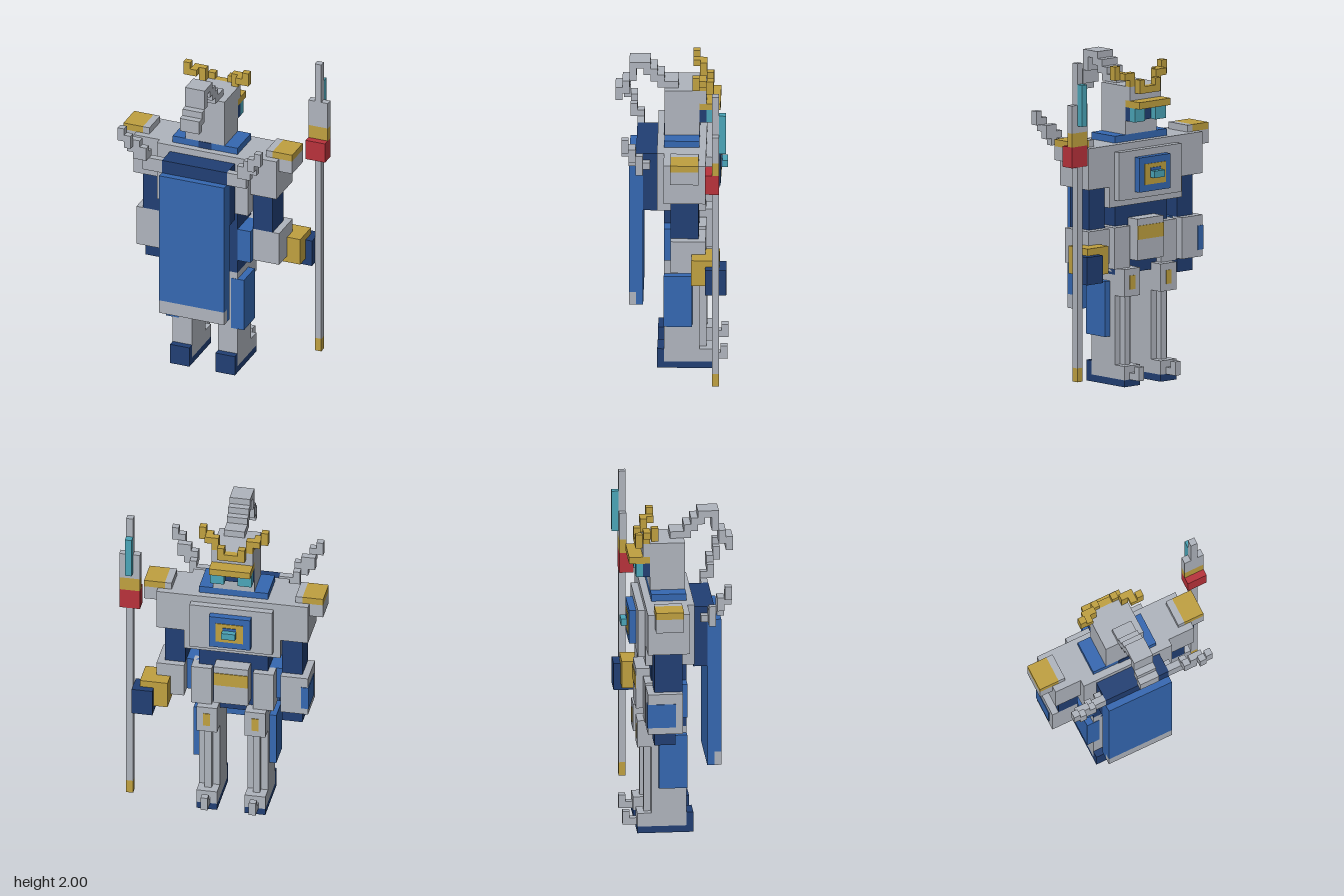
import * as THREE from 'three';

const mat = (name, color) => {
  const m = new THREE.MeshStandardMaterial({ color });
  m.name = name;
  return m;
};

export function createModel() {
  const steel = mat('steel', 0xb0b5be);
  const gold = mat('gold', 0xc0a140);
  const blue = mat('blue', 0x3568b2);
  const navy = mat('navy', 0x213f74);
  const red = mat('red', 0xb9323b);
  const cyan = mat('cyan', 0x4ba6b9);

  const root = new THREE.Group();
  // Everything is laid out on a block grid of 24 blocks per unit
  const figure = new THREE.Group();
  figure.name = 'armouredGuard';
  figure.scale.setScalar(1 / 24);
  figure.position.x = -1.5 / 24;
  root.add(figure);

  // Box given by its bounds in blocks
  const box = (name, m, x0, x1, y0, y1, z0, z1) => {
    const mesh = new THREE.Mesh(new THREE.BoxGeometry(x1 - x0, y1 - y0, z1 - z0), m);
    mesh.position.set((x0 + x1) / 2, (y0 + y1) / 2, (z0 + z1) / 2);
    mesh.name = name;
    figure.add(mesh);
  };
  const pair = (name, m, x0, x1, ...rest) => {
    box(name + 'Left', m, x0, x1, ...rest);
    box(name + 'Right', m, -x1, -x0, ...rest);
  };

  // Legs and boots
  pair('leg', steel, 2, 5, 3, 17, -4, 1);
  pair('sole', navy, 2, 5, 0, 1, -6, 2);
  pair('heel', navy, 2, 5, 1, 3, 1, 2);
  pair('foot', steel, 2, 5, 1, 3, -6, 1);
  pair('toe', steel, 3, 4, 1, 2, -8, -6);
  pair('toeTip', steel, 3, 4, 2, 3, -8, -7);
  pair('shinRidge', steel, 3, 4, 3, 13, -5, -4);
  pair('kneePlate', steel, 2, 5, 13, 17, -6, -4);
  pair('kneeStripe', gold, 3, 4, 14, 16, -6.1, -6);
  pair('thighPlate', blue, 4, 6, 7, 15, -3, 1.05);

  // Waist and hips
  box('waist', navy, -5, 5, 16, 26, -4, 1);
  pair('hipGuard', blue, 5, 7, 18, 23, -3, 1);
  pair('hipPlate', steel, 3, 6, 17, 23, -5, -2);
  box('beltPlate', steel, -2.5, 2.5, 18, 24, -6, -4);
  box('beltBuckle', gold, -2.5, 2.5, 21, 23, -6.1, -6);

  // Torso and chest emblem
  box('torso', steel, -7, 7, 26, 35, -5, 2);
  box('chestPlate', steel, -6, 6, 27, 34, -6, -5);
  box('emblemPanel', blue, -3, 3, 28, 33, -7, -6);
  box('emblemFrame', gold, -2, 2, 29, 32, -7.1, -7);
  box('emblemCore', blue, -1, 1, 30, 31.4, -7.2, -7.1);
  box('emblemGem', cyan, -1, 1, 30, 31, -8, -7.2);
  box('collar', blue, -5, 5, 35, 36, -4, 1);
  box('neckPatch', navy, -1, 1, 35, 36, 1, 1.1);

  // Cape
  box('capeTop', navy, -5, 5, 25, 34, 2, 4);
  box('capeFold', navy, -5, 5, 32, 34, 4, 5);
  box('cape', blue, -5, 5, 12, 32, 4, 6);
  box('capeHem', blue, -5, 5, 10, 12, 4, 5);
  box('capeTrim', steel, -5, 5, 10, 12, 5, 6);

  // Stepped horns rising from the back of the shoulders
  [
    [5, 6, 32, 33, 3, 5], [5, 8, 32, 34, 4, 5], [7, 8, 34, 35, 4, 5],
    [7, 9, 34, 36, 5, 6], [8, 10, 35, 37, 5, 6], [9, 10, 36, 38, 6, 7], [10, 11, 37, 39, 6, 7],
  ].forEach((b, i) => pair('backHorn' + i, steel, ...b));

  // Arms
  pair('shoulder', steel, 7, 11, 29, 35, -5, 1);
  pair('pauldron', steel, 9, 13, 33, 35, -4, 0);
  pair('pauldronRim', steel, 9, 10, 35, 36, -4, 0);
  pair('pauldronCap', gold, 10, 13, 35, 36, -4, 0);
  pair('sleeve', navy, 7, 10, 23, 29, -4, 0);
  box('leftForearm', steel, 7, 11, 18, 23, -5, 0);
  box('rightForearm', steel, -11, -7, 17, 23, -5, 0);
  box('rightForearmPanel', blue, -11.1, -10, 18, 21.5, -5.1, -1);
  box('rightHand', navy, -10, -7, 15, 17, -4, -1);
  box('leftCuff', gold, 9, 13, 17, 21, -7, -3);
  box('leftHand', navy, 11, 14, 16, 20, -8, -5);

  // Head and visor
  box('head', steel, -3, 3, 36, 43, -4, 1);
  box('forehead', steel, -3, 3, 41, 43, -5, -4);
  box('visor', navy, -3, 3, 38, 40, -5, -4);
  pair('eye', cyan, 1, 3, 38, 40, -6, -5);
  box('brow', gold, -3, 3, 40, 41, -7, -4);

  // Crown with two rising prongs
  box('crownCentre', gold, -1, 1, 42, 43, -6, -5);
  pair('crownStep', gold, 1, 2, 42, 44, -6, -5);
  pair('crownBase', gold, 2, 3, 43, 45, -5, -4);
  pair('crownProng', gold, 3, 4, 44, 45, -5, -4);
  pair('crownTip', gold, 4, 5, 44, 46, -4, -3);
  pair('crownProngJoint', gold, 3, 5, 44, 45, -4, -3);

  // Plume arching over the back of the head: y0, y1, z0, z1
  [
    [43, 44, -1, 2], [44, 45, 1, 3], [45, 46, 2, 4], [46, 47, 3, 6],
    [44, 46, 5, 6], [42, 44, 6, 7], [41, 43, 7, 8],
  ].forEach((b, i) => box('plume' + i, steel, -1, 2, ...b));

  // Staff
  box('staffTip', gold, 14, 15, 2, 4, -7, -6);
  box('staffShaft', steel, 14, 15, 4, 33, -7, -6);
  box('staffSocket', red, 13, 16, 33, 36, -7, -5);
  box('staffBand', gold, 13, 16, 36, 38, -7, -6);
  box('staffBlade', steel, 13, 16, 38, 42, -7, -6);
  box('staffPoint', steel, 14, 15, 42, 48, -7, -6);
  box('staffCrystal', cyan, 14, 15, 39, 45, -8, -7);

  return root;
}
